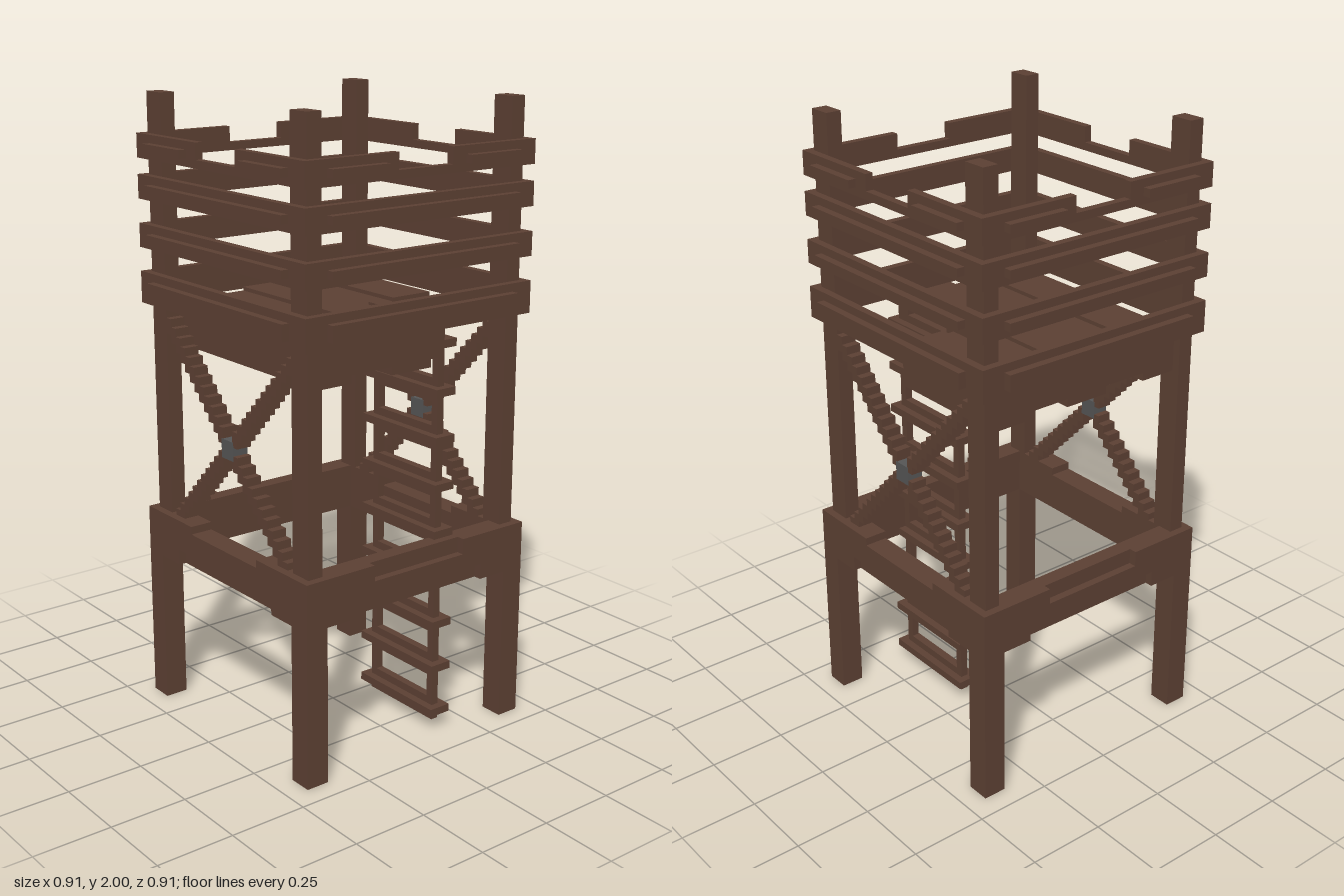
import * as THREE from 'three';

const V = 2 / 79; // block unit: the tower is 79 blocks tall

export function createModel() {
  const wood = new THREE.MeshStandardMaterial({ color: 0x5c4033 });
  wood.name = 'dark wood';
  const iron = new THREE.MeshStandardMaterial({ color: 0x555555 });
  iron.name = 'grey iron';

  const model = new THREE.Group();
  model.name = 'watchtower';
  const group = (name, parent = model) => {
    const g = new THREE.Group();
    g.name = name;
    parent.add(g);
    return g;
  };

  // Box from its limits in block units
  function box(parent, name, x0, x1, y0, y1, z0, z1, mat = wood) {
    const m = new THREE.Mesh(new THREE.BoxGeometry((x1 - x0) * V, (y1 - y0) * V, (z1 - z0) * V), mat);
    m.position.set((x0 + x1) / 2 * V, (y0 + y1) / 2 * V, (z0 + z1) / 2 * V);
    m.name = name;
    parent.add(m);
    return m;
  }

  // Upright board: right half of the outline (bottom to top), mirrored, z0 to z1
  function board(parent, name, half, z0, z1) {
    const outline = [...half, ...half.map(([x, y]) => [-x, y]).reverse()];
    const shape = new THREE.Shape(outline.map(([x, y]) => new THREE.Vector2(x * V, y * V)));
    const m = new THREE.Mesh(new THREE.ExtrudeGeometry(shape, { depth: (z1 - z0) * V, bevelEnabled: false }), wood);
    m.position.z = z0 * V;
    m.name = name;
    parent.add(m);
  }

  // Legs and upper posts
  for (const sx of [-1, 1]) for (const sz of [-1, 1]) {
    const leg = box(model, 'leg', 14, 17, 0, 20, 14, 17);
    const post = box(model, 'post', 13, 16, 25, 79, 14, 16);
    for (const m of [leg, post]) {
      m.position.x *= sx;
      m.position.z *= sz;
    }
  }

  // Four sides: notched base beams, railings and, front and back, cross braces
  for (let k = 0; k < 4; k++) {
    const side = group(['front', 'left', 'back', 'right'][k] + 'Side');
    side.rotation.y = k * Math.PI / 2;
    const isFront = k % 2 === 0;

    // Base beam with a recessed lower edge and a lowered top
    const w = isFront ? 17 : 16.99;
    const notch = isFront ? 25 : 24;
    board(side, 'beamFace', [[10, 22], [10, 20], [w, 20], [w, 26], [7, 26], [7, notch]], 16, 17);
    if (isFront) board(side, 'beamCore', [[16, 20], [16, 26], [7, 26], [7, 25]], 14, 16);
    else box(side, 'beamCore', -14, 14, 20, 26, 14, 16);

    // Rails with raised strips
    const r = isFront ? 17 : 16;
    for (const [y0, y1, s0, s1] of [[53, 57, 54, 56], [60, 63, 61, 62], [66, 69, 67, 68]]) {
      box(side, 'rail', -r, r, y0, y1, 16, 17);
      box(side, 'railStrip', -14, 14, s0, s1, 17, 18);
    }
    board(side, 'topRail', [[r, 71], [r, 74], [4, 74], [4, 72]], 16, 17);
    box(side, 'topRailStrip', -14, -6, 72, 73, 17, 18);
    box(side, 'topRailStrip', 6, 14, 72, 73, 17, 18);

    // Stepped cross brace with an iron centre
    if (isFront) {
      const brace = group('crossBrace', side);
      for (const s of [-1, 1]) for (let i = -13; i < 13; i++) {
        if (i === -1 || i === 0) continue;
        const y = 37.7 + s * (i + 0.5) * 1.03;
        box(brace, 'braceStep', i, i + 1, y - 1, y + 1, 14, 16);
      }
      box(brace, 'braceBolt', -1.2, 1.2, 36.5, 38.9, 13.95, 16.05, iron);
    }
  }

  // Platform with a hatch open at the back left corner
  const deck = group('platform');
  box(deck, 'deckBody', -15, 15, 49, 53, -5, 14);
  box(deck, 'deckBody', -15, 2, 49, 53, -14, -5);
  for (const [z0, z1, x1] of [[8, 14, 15], [-3, 3, 15], [-14, -8, 2]])
    box(deck, 'floorPlank', -15, x1, 53, 53.5, z0, z1);
  for (const [z0, z1, x1] of [[9, 14, 15], [-3, 3, 15], [-14, -9, 2]])
    box(deck, 'joist', -15, x1, 48, 49, z0, z1);

  // Ladder up to the hatch
  const ladder = group('ladder');
  for (const x of [2, 13]) box(ladder, 'stile', x, x + 1, 1, 53, -6, -5);
  for (const x of [2, 12]) box(ladder, 'stileHead', x, x + 2, 52, 53.5, -6, -4);
  for (let y = 1; y < 50; y += 6) {
    box(ladder, 'rungBoard', 3, 13, y, y + 3, -6, -5);
    box(ladder, 'rung', 1, 15, y + 1, y + 2, -7, -4);
  }
  return model;
}
